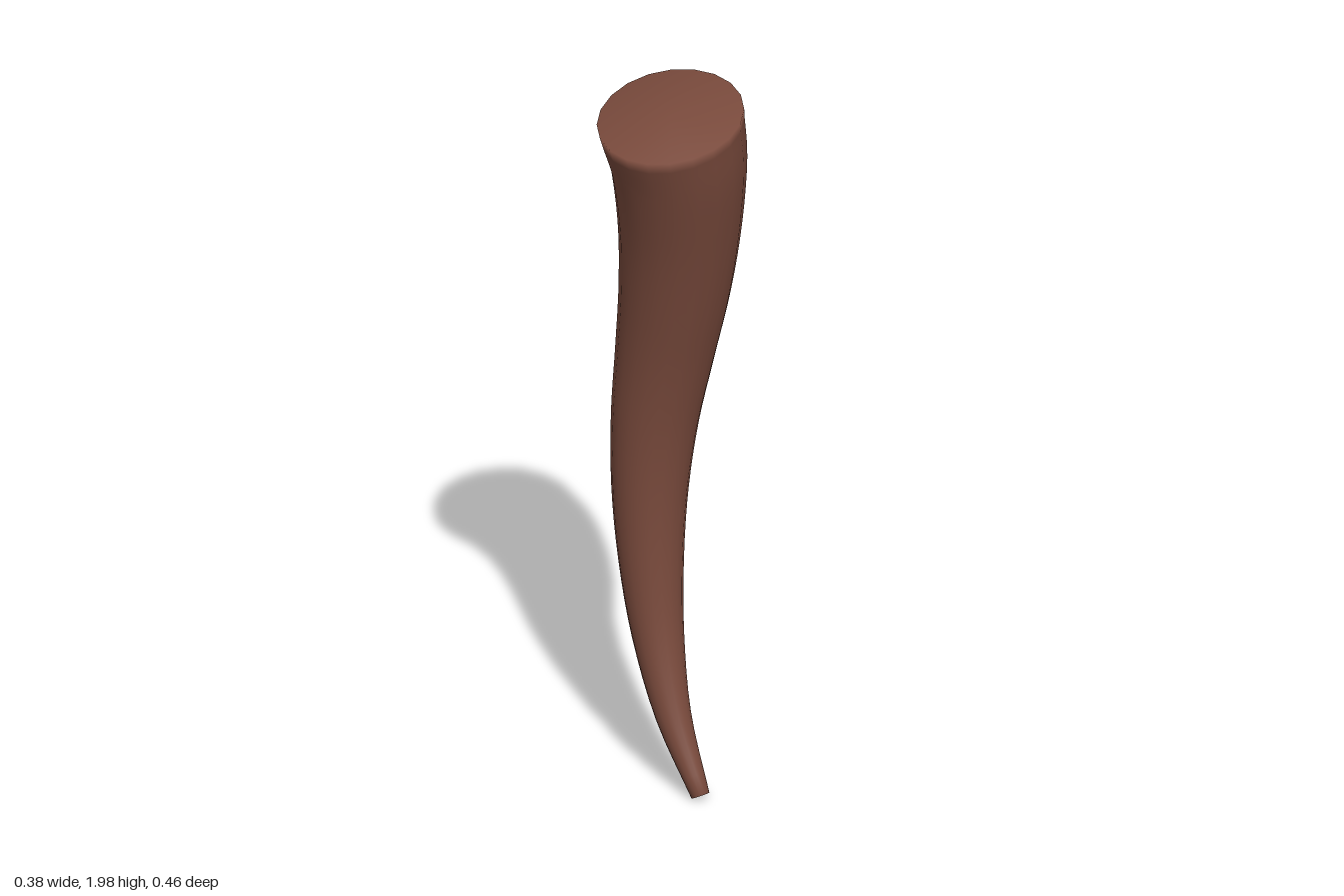
import * as THREE from 'three';

// Centre line from tip to wide end: x, y, z, radius
const SECTIONS = [
  [0.07, 0.012, 0.09, 0.024],
  [0.0, 0.2, 0.009, 0.046],
  [-0.04, 0.4, -0.056, 0.067],
  [-0.058, 0.6, -0.092, 0.084],
  [-0.061, 0.8, -0.11, 0.099],
  [-0.048, 1.0, -0.111, 0.113],
  [-0.022, 1.2, -0.095, 0.128],
  [0.003, 1.4, -0.065, 0.144],
  [0.016, 1.6, -0.028, 0.159],
  [0.013, 1.8, 0.016, 0.176],
  [-0.007, 1.937, 0.045, 0.19],
];
const SIDES = 20;
const RINGS = 40;

// Tapered, smoothly shaded tube with both ends closed
function hornGeometry() {
  const path = new THREE.CatmullRomCurve3(
    SECTIONS.map(([x, y, z]) => new THREE.Vector3(x, y, z)), false, 'catmullrom');
  const radius = new THREE.CatmullRomCurve3(
    SECTIONS.map((s) => new THREE.Vector3(s[3], 0, 0)), false, 'catmullrom');
  const positions = [];
  const indices = [];

  for (let i = 0; i <= RINGS; i++) {
    const t = i / RINGS;
    const centre = path.getPoint(t);
    const r = radius.getPoint(t).x;
    const along = path.getTangent(t);
    const u = new THREE.Vector3(1, 0, 0).addScaledVector(along, -along.x).normalize();
    const v = new THREE.Vector3().crossVectors(along, u);
    for (let j = 0; j < SIDES; j++) {
      const a = (j / SIDES) * Math.PI * 2;
      const p = centre.clone()
        .addScaledVector(u, r * Math.cos(a))
        .addScaledVector(v, r * Math.sin(a));
      positions.push(p.x, p.y, p.z);
    }
  }

  // Cap centres
  const tip = (RINGS + 1) * SIDES;
  const end = tip + 1;
  for (const t of [0, 1]) positions.push(...path.getPoint(t).toArray());

  for (let j = 0; j < SIDES; j++) {
    const k = (j + 1) % SIDES;
    for (let i = 0; i < RINGS; i++) {
      const lo = i * SIDES;
      const hi = lo + SIDES;
      indices.push(lo + j, lo + k, hi + j, lo + k, hi + k, hi + j);
    }
    const last = RINGS * SIDES;
    indices.push(tip, k, j, end, last + j, last + k);
  }

  const geometry = new THREE.BufferGeometry();
  geometry.setAttribute('position', new THREE.Float32BufferAttribute(positions, 3));
  geometry.setIndex(indices);
  geometry.computeVertexNormals();
  return geometry;
}

export function createModel() {
  const group = new THREE.Group();
  group.name = 'curvedHorn';
  const horn = new THREE.Mesh(
    hornGeometry(), new THREE.MeshStandardMaterial({ color: 0x794a3c }));
  horn.name = 'horn';
  group.add(horn);
  return group;
}
